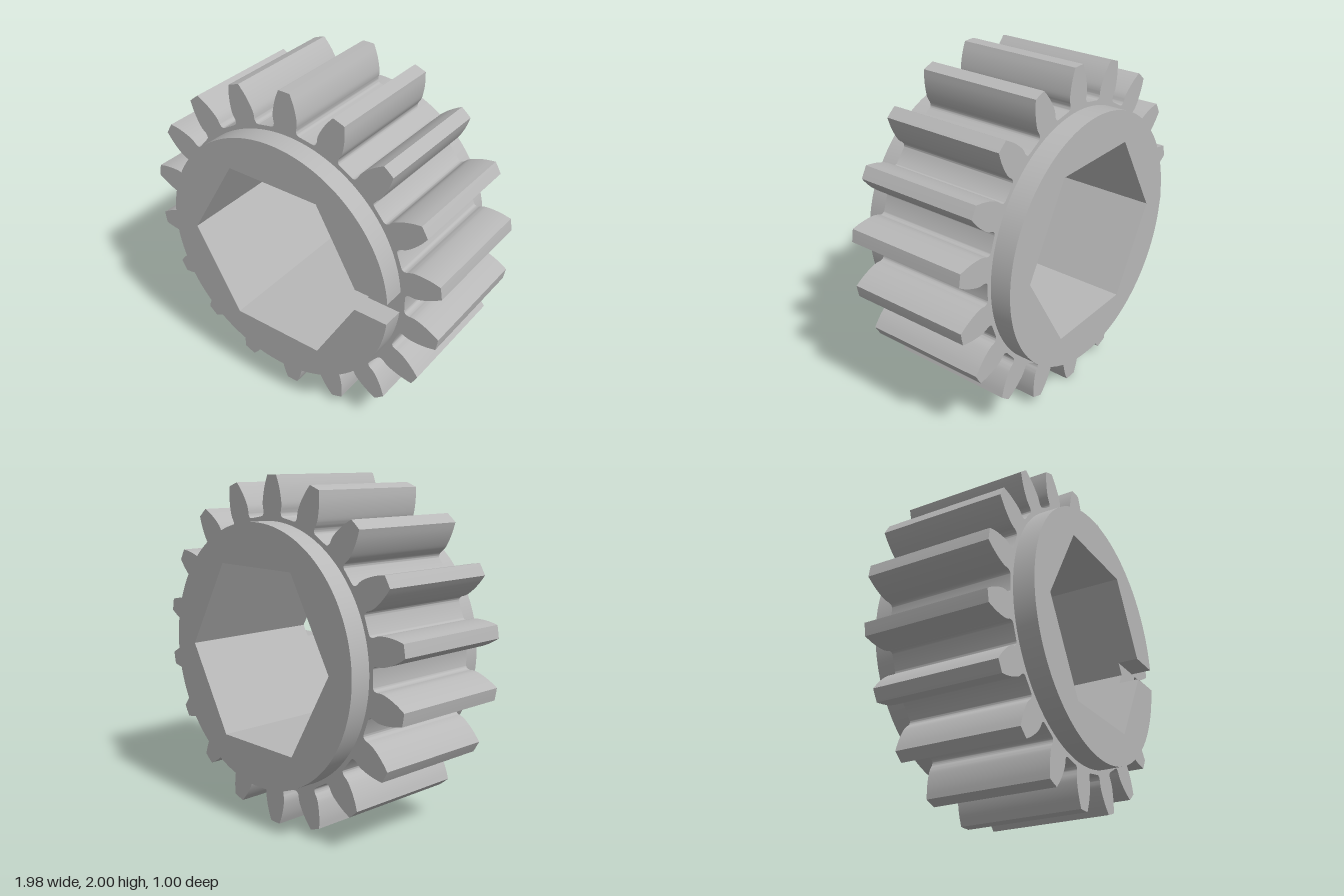
import * as THREE from 'three';
import { toCreasedNormals } from 'three/addons/utils/BufferGeometryUtils.js';

const TEETH = 18;
const GEAR_HALF = 0.375, TOTAL_HALF = 0.5;
const HUB_R = 0.75, HEX_R = 0.583, HEX_FLAT = 0.505, SLOT_HALF = 0.068;

const hexPoints = () => Array.from({ length: 6 }, (_, i) => {
  const a = (i * Math.PI) / 3;
  return new THREE.Vector2(HEX_R * Math.cos(a), HEX_R * Math.sin(a));
});

// Prism between two depths, smooth on curves and sharp at corners
function prism(shape, z0, z1) {
  const geo = new THREE.ExtrudeGeometry(shape, { depth: z1 - z0, bevelEnabled: false, curveSegments: 96 });
  geo.translate(0, 0, z0);
  return toCreasedNormals(geo, 0.5);
}

// Spur gear outline: one flank (half width, radius), mirrored and repeated
function gearShape() {
  const flank = new THREE.SplineCurve([
    [0.037, 0.9993], [0.057, 0.95], [0.071, 0.9], [0.079, 0.85], [0.077, 0.82],
    [0.073, 0.803], [0.075, 0.785], [0.083, 0.775], [0.094, 0.771],
  ].map(([x, y]) => new THREE.Vector2(x, y))).getPoints(28);
  const tooth = [
    ...flank.slice().reverse(),
    new THREE.Vector2(0, 1),
    ...flank.map((p) => new THREE.Vector2(-p.x, p.y)),
  ];
  const outline = [];
  const centre = new THREE.Vector2();
  for (let i = 0; i < TEETH; i++) {
    const a = (i * 2 * Math.PI) / TEETH;
    tooth.forEach((p) => outline.push(p.clone().rotateAround(centre, a)));
  }
  const shape = new THREE.Shape(outline);
  shape.holes.push(new THREE.Path(hexPoints().reverse()));
  return shape;
}

// Plain hub ring with hexagonal bore
function hubShape() {
  const shape = new THREE.Shape().absarc(0, 0, HUB_R, 0, Math.PI * 2, false);
  shape.holes.push(new THREE.Path(hexPoints().reverse()));
  return shape;
}

// Hub ring cut open by a slot on the +x side
function slottedHubShape() {
  const a = Math.asin(SLOT_HALF / HUB_R);
  const slotX = HEX_R - (SLOT_HALF * HEX_R) / 2 / HEX_FLAT;
  const shape = new THREE.Shape();
  shape.absarc(0, 0, HUB_R, a, Math.PI * 2 - a, false);
  shape.lineTo(slotX, -SLOT_HALF);
  hexPoints().slice(1).reverse().forEach((p) => shape.lineTo(p.x, p.y));
  shape.lineTo(slotX, SLOT_HALF);
  shape.closePath();
  return shape;
}

export function createModel() {
  const steel = new THREE.MeshStandardMaterial({ color: 0xb8b8b8 });
  steel.name = 'grey steel';
  const group = new THREE.Group();
  group.name = 'hexBoreGear';

  const add = (name, shape, z0, z1) => {
    const mesh = new THREE.Mesh(prism(shape, z0, z1), steel);
    mesh.name = name;
    mesh.position.y = 1;
    group.add(mesh);
  };
  add('toothedRing', gearShape(), -GEAR_HALF, GEAR_HALF);
  add('frontSlottedHub', slottedHubShape(), GEAR_HALF, TOTAL_HALF);
  add('backHub', hubShape(), -TOTAL_HALF, -GEAR_HALF);
  return group;
}
